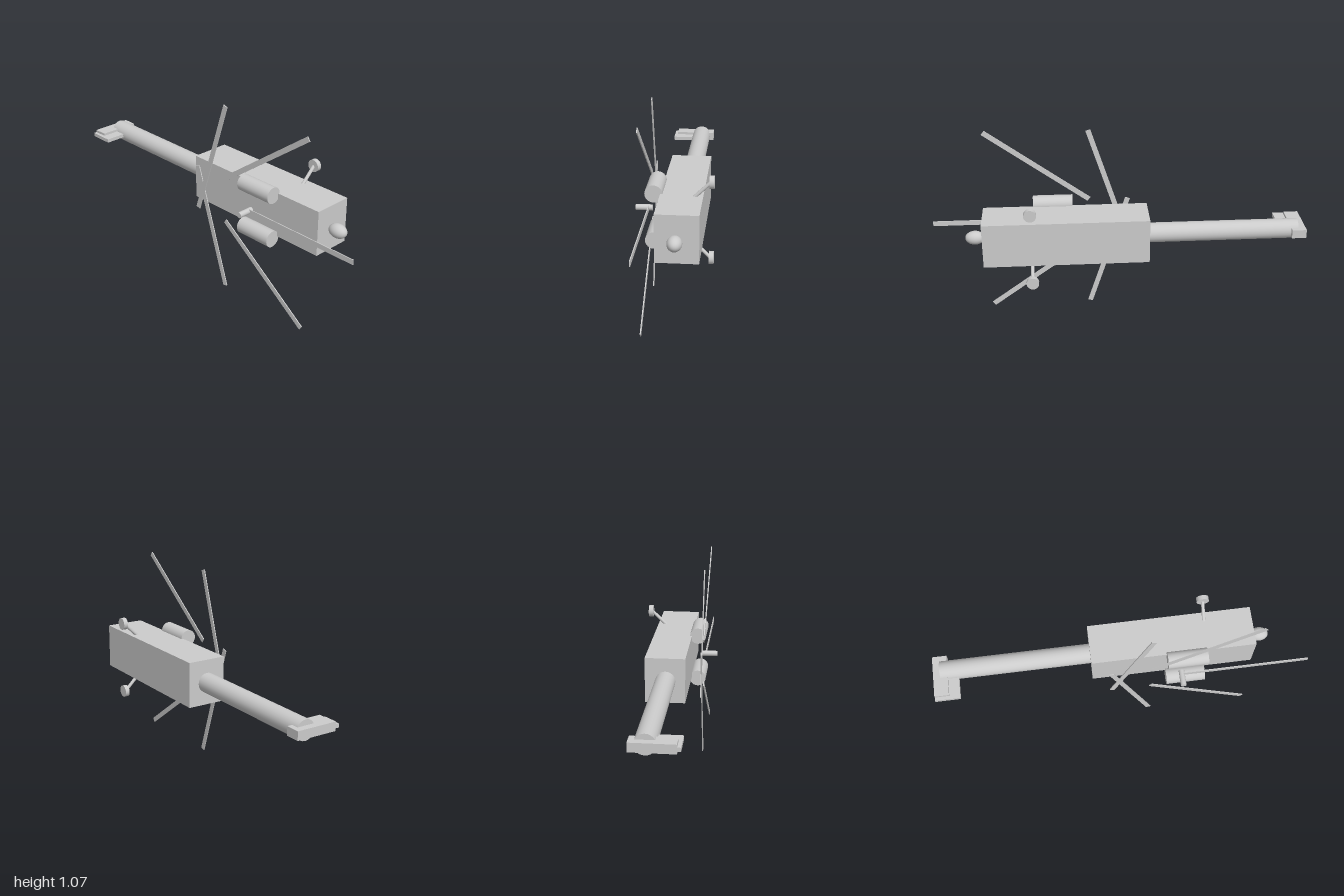
import * as THREE from 'three';

const CY = 0.534; // height of the long axis

export function createModel() {
  const group = new THREE.Group();
  const material = new THREE.MeshStandardMaterial({ color: 0xcccccc });

  function add(name, geometry, x, y, z) {
    const mesh = new THREE.Mesh(geometry, material);
    mesh.name = name;
    mesh.position.set(x, y, z);
    group.add(mesh);
    return mesh;
  }
  const box = (name, w, h, d, x, y, z) => add(name, new THREE.BoxGeometry(w, h, d), x, y, z);

  // Cylinder running between two points
  function rod(name, r, from, to) {
    const a = new THREE.Vector3(...from), b = new THREE.Vector3(...to);
    const mid = a.clone().add(b).multiplyScalar(0.5);
    const mesh = add(name, new THREE.CylinderGeometry(r, r, a.distanceTo(b), 24), mid.x, mid.y, mid.z);
    mesh.quaternion.setFromUnitVectors(new THREE.Vector3(0, 1, 0), b.sub(a).normalize());
    return mesh;
  }

  // Fuselage, nose and tail boom (the aircraft lies on its side, roof towards +z)
  box('fuselage', 0.876, 0.245, 0.213, 0.28, CY + 0.002, -0.042);
  add('nose', new THREE.SphereGeometry(0.037, 24, 16), 0.762, CY, -0.036).scale.x = 1.4;
  rod('tailBoom', 0.053, [-0.962, CY, -0.04], [-0.15, CY, -0.04]);

  // Tail fin and the thicker block behind it
  box('tailFin', 0.135, 0.02, 0.135, -0.9325, CY, 0.0585);
  box('tailBlock', 0.077, 0.047, 0.223, -0.9615, CY, -0.004);

  // Rotor mast and five blades, each turned by half its step angle
  const hubX = 0.32;
  rod('rotorMast', 0.0155, [hubX - 0.003, CY, 0.118], [hubX - 0.003, CY, 0.204]);
  for (let k = -2; k <= 2; k++) {
    const angle = k * Math.PI * 0.4;
    const blade = box('rotorBlade', 0.68, 0.027, 0.005,
      hubX + 0.34 * Math.cos(angle), CY + 0.34 * Math.sin(angle), 0.138);
    blade.rotation.z = angle / 2;
  }

  // Paired engines, landing struts and wheels
  for (const s of [-1, 1]) {
    const ey = CY + s * 0.124;
    rod('engine', 0.0445, [0.24, ey, 0.098], [0.452, ey, 0.098]);
    rod('landingStrut', 0.009, [0.463, CY + s * 0.105, -0.09], [0.463, CY + s * 0.199, -0.186]);
    rod('wheel', 0.033, [0.463, CY + s * 0.199, -0.203], [0.463, CY + s * 0.199, -0.179]);
  }

  return group;
}
